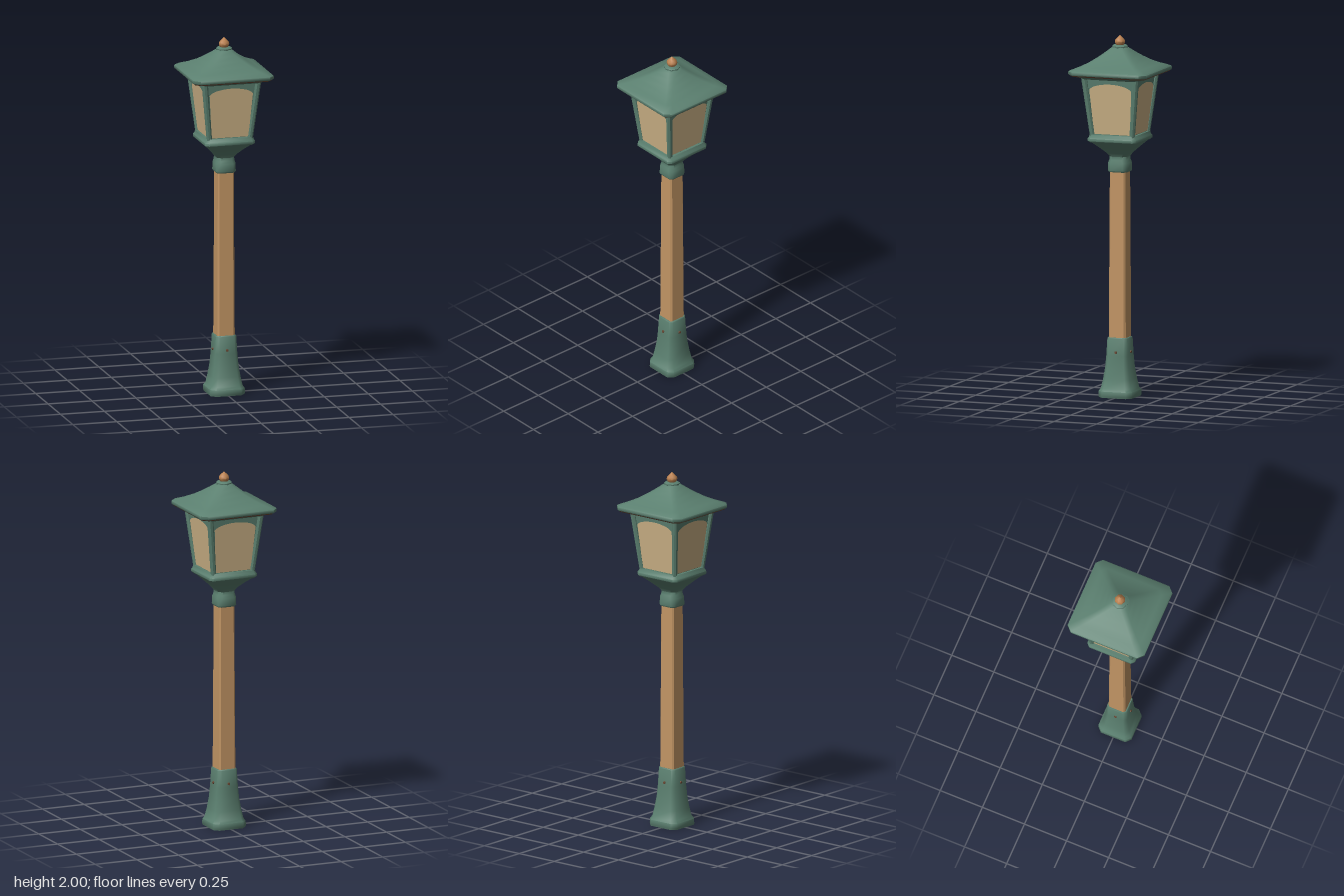
import * as THREE from 'three';
import { toCreasedNormals } from 'three/addons/utils/BufferGeometryUtils.js';

const mat = (name, color) => new THREE.MeshStandardMaterial({ name, color });

// Stack of chamfered squares, each section: [y, half width, chamfer, centre x, centre z]
function loft(sections, crease = 0.9) {
  const pos = [], index = [], n = 8;
  for (const [y, h, c, cx = 0, cz = 0] of sections) {
    const k = h - c;
    for (const [x, z] of [[h, k], [h, -k], [k, -h], [-k, -h], [-h, -k], [-h, k], [-k, h], [k, h]])
      pos.push(x + cx, y, z + cz);
  }
  const last = (sections.length - 1) * n;
  for (let i = 0; i < last; i += n)
    for (let j = 0; j < n; j++) {
      const a = i + j, b = i + (j + 1) % n;
      index.push(a, b, b + n, a, b + n, a + n);
    }
  for (let j = 1; j < n - 1; j++) {
    index.push(0, j + 1, j);
    index.push(last, last + j, last + j + 1);
  }
  const g = new THREE.BufferGeometry();
  g.setAttribute('position', new THREE.Float32BufferAttribute(pos, 3));
  g.setIndex(index);
  return toCreasedNormals(g, crease);
}

export function createModel() {
  const green = mat('green metal', 0x5b8070);
  const wood = mat('wood', 0xc29564);
  const copper = mat('copper', 0xb9804f);
  const trim = mat('dark trim', 0x6b4a35);
  const glass = mat('warm glass', 0xcdb387);

  const root = new THREE.Group();
  root.name = 'streetLamp';
  const add = (name, geometry, material, parent = root) => {
    const m = new THREE.Mesh(geometry, material);
    m.name = name;
    parent.add(m);
    return m;
  };

  // Flared foot and wooden post
  add('foot', loft([
    [0, 0.096, 0.026], [0.008, 0.099, 0.027], [0.035, 0.098, 0.027], [0.05, 0.088, 0.025],
    [0.1, 0.078, 0.022], [0.16, 0.069, 0.02], [0.23, 0.063, 0.018], [0.325, 0.058, 0.016],
    [0.33, 0.055, 0.015],
  ]), green);
  add('post', loft([[0.3, 0.05, 0.009], [1.28, 0.045, 0.008]], 0.4), wood);

  // Collar, flared cup and ledge under the lantern
  add('collar', loft([
    [1.245, 0.052, 0.015], [1.252, 0.056, 0.017], [1.295, 0.056, 0.02], [1.312, 0.051, 0.02],
    [1.33, 0.049, 0.02], [1.35, 0.063, 0.02], [1.385, 0.097, 0.02], [1.42, 0.134, 0.018],
  ]), green);
  add('ledge', loft([
    [1.415, 0.134, 0.018], [1.423, 0.142, 0.019], [1.437, 0.142, 0.019], [1.444, 0.137, 0.018],
    [1.46, 0.132, 0.017],
  ]), green);

  // Lantern housing with four corner bars
  const y0 = 1.45, y1 = 1.79, h0 = 0.117, h1 = 0.154;
  add('housing', loft([[y0, h0, 0.008], [y1, h1, 0.008]], 0.3), green);
  for (const sx of [-1, 1])
    for (const sz of [-1, 1])
      add('cornerBar', loft([
        [1.445, 0.014, 0.008, sx * 0.115, sz * 0.115],
        [1.79, 0.016, 0.009, sx * 0.153, sz * 0.153],
      ], 0.3), green);

  // Arched glass panes and foot bolts, one per side
  const pane = new THREE.Shape();
  pane.moveTo(-0.105, 0.013);
  pane.lineTo(0.105, 0.013);
  pane.lineTo(0.123, 0.262);
  pane.quadraticCurveTo(0.112, 0.276, 0.085, 0.285);
  pane.quadraticCurveTo(0, 0.308, -0.085, 0.285);
  pane.quadraticCurveTo(-0.112, 0.276, -0.123, 0.262);
  const paneGeo = new THREE.ShapeGeometry(pane, 8);
  const boltGeo = new THREE.CylinderGeometry(0.007, 0.008, 0.012, 8).rotateX(Math.PI / 2);
  for (let i = 0; i < 4; i++) {
    const side = new THREE.Group();
    side.name = 'side';
    side.rotation.y = i * Math.PI / 2;
    root.add(side);
    const p = add('glassPane', paneGeo, glass, side);
    p.position.set(0, y0, h0 + 0.003);
    p.rotation.x = Math.atan((h1 - h0) / (y1 - y0));
    add('bolt', boltGeo, trim, side).position.set(0, 0.25, 0.062);
  }

  // Eaves, trim line and swept roof
  add('eaves', loft([[1.768, 0.165, 0.02], [1.776, 0.18, 0.022], [1.788, 0.217, 0.029]]), green);
  add('eavesTrim', loft([[1.786, 0.217, 0.029], [1.795, 0.224, 0.03]]), trim);
  add('roof', loft([
    [1.793, 0.225, 0.031], [1.798, 0.228, 0.032], [1.812, 0.228, 0.032], [1.817, 0.223, 0.031],
    [1.833, 0.182, 0.027], [1.855, 0.14, 0.024], [1.88, 0.103, 0.022], [1.905, 0.072, 0.022],
    [1.925, 0.049, 0.022], [1.936, 0.036, 0.02],
  ]), green);

  // Octagonal cap ring and finial
  const lathe = pts => toCreasedNormals(
    new THREE.LatheGeometry(pts.map(([r, y]) => new THREE.Vector2(r, y)), 8), 0.85);
  add('capRing', lathe([
    [0, 1.925], [0.038, 1.925], [0.045, 1.932], [0.045, 1.939], [0.036, 1.945], [0, 1.947],
  ]), green);
  add('finial', lathe([
    [0, 1.94], [0.02, 1.943], [0.027, 1.952], [0.03, 1.963], [0.027, 1.974],
    [0.018, 1.983], [0.008, 1.992], [0, 2],
  ]), copper);

  return root;
}
